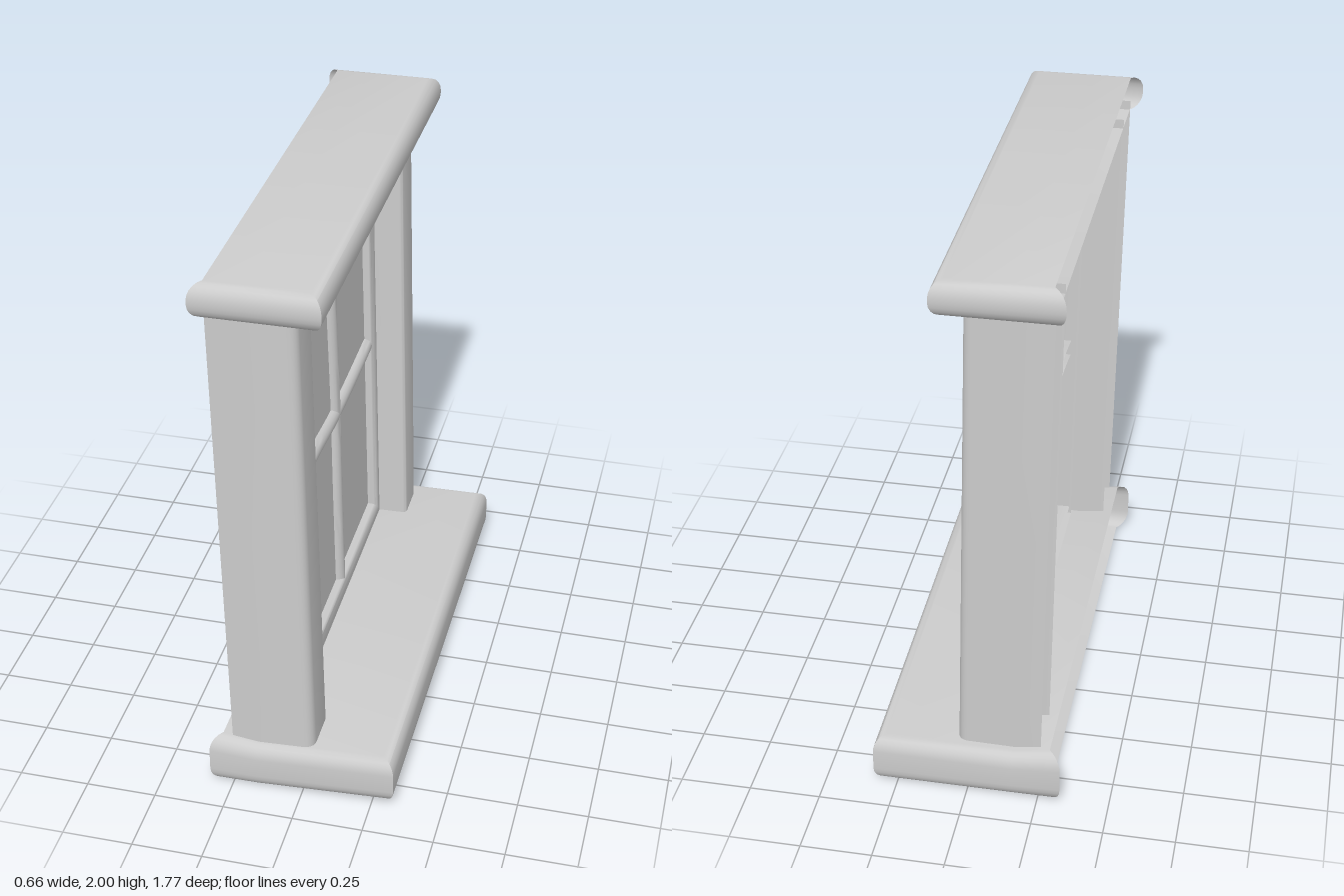
import * as THREE from 'three';
import { toCreasedNormals } from 'three/addons/utils/BufferGeometryUtils.js';

const material = new THREE.MeshStandardMaterial({ color: 0xcccccc, side: THREE.DoubleSide });

// The uprights and the sash lean back slightly towards the top
const LEAN = -0.021, MID = 1.05;
const lean = new THREE.Matrix4().set(1, LEAN, 0, -LEAN * MID, 0, 1, 0, 0, 0, 0, 1, 0, 0, 0, 0, 1);

// Skin a list of equal-length rows of [x, y, z] points
function loft(rows, closed = false) {
  const n = rows[0].length, index = [];
  const cols = closed ? n : n - 1;
  for (let r = 0; r < rows.length - 1; r++) {
    for (let c = 0; c < cols; c++) {
      const a = r * n + c, b = r * n + (c + 1) % n;
      index.push(a, b, b + n, a, b + n, a + n);
    }
  }
  const g = new THREE.BufferGeometry();
  g.setAttribute('position', new THREE.Float32BufferAttribute(rows.flat(2), 3));
  g.setIndex(index);
  return g;
}

function mesh(name, geometry) {
  const m = new THREE.Mesh(toCreasedNormals(geometry, 1.0), material);
  m.name = name;
  return m;
}

// Slab with bullnose front and ends, mitred corners and an open back;
// r is the inset of the rounding, h its height
function slab(y0, y1, xBack, xFront, zHalf, r, h) {
  const outline = (d, y, flat = 1) => {
    const z = (zHalf - d) * flat, xs = [xBack + d, -0.16, xFront - d];
    return [...xs.map(x => [x, y, z]), ...xs.reverse().map(x => [x, y, -z])];
  };
  const STEPS = 5, lower = [], upper = [];
  for (let i = 0; i <= STEPS; i++) {
    const a = i / STEPS * Math.PI / 2;
    const d = r * (1 - Math.sin(a)), e = h * (1 - Math.cos(a));
    lower.push(outline(d, y0 + e));
    upper.unshift(outline(d, y1 - e));
  }
  return loft([outline(r, y0, 0), ...lower, ...upper, outline(r, y1, 0)]);
}

// Uneven, hand-worked sill
function warpSill(g) {
  const p = g.attributes.position;
  for (let i = 0; i < p.count; i++) {
    const x = p.getX(i), y = p.getY(i), z = p.getZ(i);
    const t = y / 0.2, side = (z / 0.88 + 1) / 2;
    const front = Math.max(0, (x + 0.2) / 0.53);
    const dip = Math.abs(x + 0.16) < 0.01 ? -0.017 : 0;
    p.setY(i, y + t * (dip + front * (0.02 * side - 0.012)) + (1 - t) * 0.03 * front * side);
  }
  return g;
}

// Post with rounded front edges and an open back
function jamb(side, zIn, zOut) {
  const xb = -0.272, xf = 0.022, section = [[xb, zOut]];
  const round = (r, zc, from) => {
    for (let i = 0; i <= 5; i++) {
      const a = from + i / 5 * Math.PI / 2;
      section.push([xf - r + r * Math.sin(a), zc + r * Math.cos(a)]);
    }
  };
  round(0.035, zOut - 0.035, 0);
  round(0.018, zIn + 0.018, Math.PI / 2);
  section.push([xb, zIn]);
  return loft([0.17, 1.05, 1.91].map(y => section.map(([x, z]) => [x, y, z * side])));
}

// Half-round glazing bar following a slightly crooked path of [y, z] points
function bar(points, vertical) {
  const curve = new THREE.CatmullRomCurve3(points.map(([y, z]) => new THREE.Vector3(0, y, z)));
  return loft(curve.getPoints(24).map(p => {
    const row = [];
    for (let i = -1; i <= 9; i++) {
      const a = Math.min(Math.max(i, 0), 8) / 8 * Math.PI;
      const w = -0.03 * Math.cos(a);
      const x = i < 0 || i > 8 ? -0.135 : -0.1 + 0.028 * Math.sin(a);
      row.push(vertical ? [x, p.y, p.z + w] : [x, p.y + w, p.z]);
    }
    return row;
  }));
}

// Rectangular path in the plane of the window
const rect = (x, z, y0, y1) => [[x, y0, z], [x, y1, z], [x, y1, -z], [x, y0, -z]];

export function createModel() {
  const model = new THREE.Group();
  model.name = 'window';

  model.add(mesh('lintel', slab(1.876, 2, -0.33, 0.097, 0.887, 0.042, 0.055)));
  model.add(mesh('sill', warpSill(slab(0, 0.2, -0.33, 0.332, 0.882, 0.042, 0.06))));

  const leaning = (name, g) => model.add(mesh(name, g.applyMatrix4(lean)));

  leaning('leftJamb', jamb(1, 0.663, 0.842));
  leaning('rightJamb', jamb(-1, 0.648, 0.825));

  // Flat casing between the posts and the sash
  leaning('casing', loft([
    rect(-0.09, 0.66, 0.18, 1.9), rect(-0.09, 0.553, 0.245, 1.84), rect(-0.155, 0.553, 0.245, 1.84)
  ], true));

  // Rounded sash frame
  const sash = [[0, -0.155], [0, -0.085]];
  for (let i = 1; i <= 8; i++) {
    const a = i / 8 * Math.PI;
    sash.push([0.029 * (1 - Math.cos(a)), -0.085 + 0.022 * Math.sin(a)]);
  }
  sash.push([0.058, -0.155]);
  leaning('sashFrame', loft(sash.map(([d, x]) =>
    rect(x, 0.553 - d, 0.245 + d * 1.2, 1.835 - d * 1.22)), true));

  leaning('verticalBar', bar([[0.3, 0], [0.7, 0.001], [1.1, -0.004], [1.55, 0.009], [1.78, 0.002]], true));
  leaning('horizontalBar', bar([[1.038, 0.5], [1.055, 0.34], [1.036, 0.05], [1.034, -0.2], [1.041, -0.5]], false));

  // Glass
  const glass = new THREE.PlaneGeometry(1.0, 1.47).rotateY(Math.PI / 2).translate(-0.1, 1.04, 0);
  leaning('glass', glass);

  return model;
}
